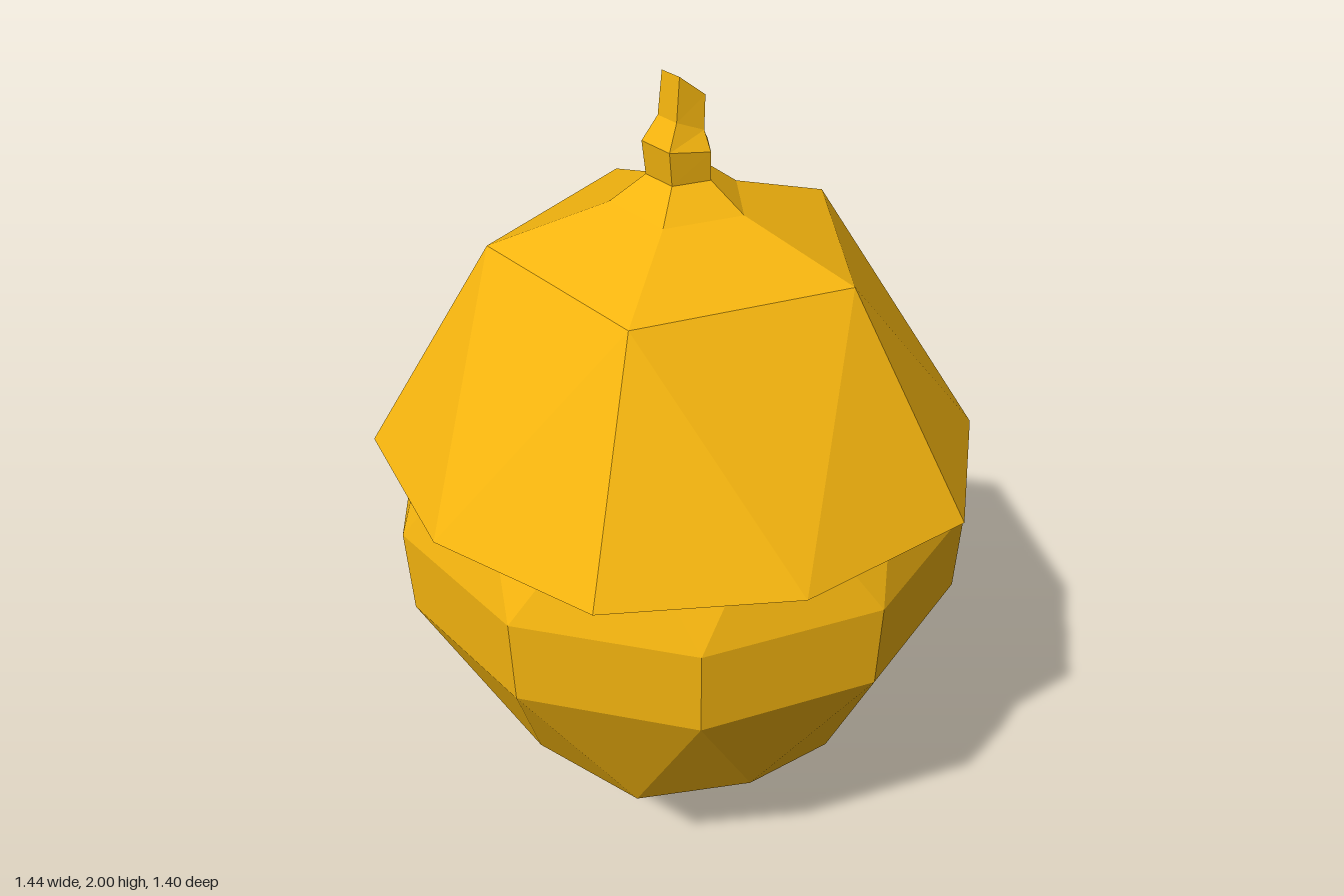
import * as THREE from 'three';

const material = new THREE.MeshStandardMaterial({ color: 0xf5b50f, flatShading: true });

// One cross-section: n points around (cx, y); odd points may use their own radius and height.
// tilt lowers the +x side. start is the angle of the first point in degrees.
function ring({ n = 5, r = 0, y, cx = 0, start = 0, rOdd = r, yOdd = y, tilt = 0 }) {
  const points = [];
  for (let i = 0; i < n; i++) {
    const a = THREE.MathUtils.degToRad(start + (i * 360) / n);
    const rad = i % 2 ? rOdd : r;
    const dx = rad * Math.cos(a);
    points.push([cx + dx, (i % 2 ? yOdd : y) - tilt * dx, rad * Math.sin(a)]);
  }
  return { n, start, points };
}

// Joins rings from bottom to top, zipping together rings of different point counts.
function skin(name, specs) {
  const rings = specs.map(ring);
  const pos = [];
  for (let k = 0; k + 1 < rings.length; k++) {
    const a = rings[k], b = rings[k + 1];
    const at = (q, i) => q.points[i % q.n];
    const edges = (q) => (q.n > 1 ? q.n : 0);
    const mid = (q, i) => (i < edges(q) ? q.start + ((i + 0.5) * 360) / q.n : Infinity);
    let i = 0, j = 0;
    while (i < edges(a) || j < edges(b)) {
      if (mid(a, i) <= mid(b, j)) {
        pos.push(...at(a, i), ...at(b, j), ...at(a, i + 1));
        i++;
      } else {
        pos.push(...at(a, i), ...at(b, j), ...at(b, j + 1));
        j++;
      }
    }
  }
  const geometry = new THREE.BufferGeometry();
  geometry.setAttribute('position', new THREE.Float32BufferAttribute(pos, 3));
  geometry.computeVertexNormals();
  const mesh = new THREE.Mesh(geometry, material);
  mesh.name = name;
  return mesh;
}

export function createModel() {
  const group = new THREE.Group();
  group.name = 'acorn';

  // Nut: a stretched, faceted ball with a pointed base
  const cx = -0.02;
  group.add(skin('nut', [
    { n: 1, y: 0, cx },
    { n: 5, r: 0.17, y: 0.07, cx, start: 36 },
    { n: 10, r: 0.44, y: 0.295, rOdd: 0.46, yOdd: 0.35, cx },
    { n: 10, r: 0.685, y: 0.765, cx, start: 18 },
    { n: 10, r: 0.695, y: 0.98, cx, start: 18 },
    { n: 10, r: 0.56, y: 1.3, cx },
    { n: 1, y: 1.45, cx },
  ]));

  // Cap: flat underside, ten-sided rim and five-sided crown
  group.add(skin('cap', [
    { n: 10, r: 0.56, y: 1.1, cx: -0.015 },
    { n: 10, r: 0.738, y: 1.11, rOdd: 0.705, yOdd: 1.1, cx: -0.015 },
    { n: 5, r: 0.435, y: 1.608, cx: -0.015 },
    { n: 5, r: 0.16, y: 1.707, cx: -0.015 },
    { n: 5, r: 0.077, y: 1.77, cx: -0.017 },
    { n: 1, y: 1.77, cx: -0.017 },
  ]));

  // Stem: swollen base, narrow neck and slanted tip
  group.add(skin('stem', [
    { n: 1, y: 1.76, cx: -0.017 },
    { n: 5, r: 0.077, y: 1.77, cx: -0.017 },
    { n: 5, r: 0.081, y: 1.84, cx: -0.022, tilt: 0.12 },
    { n: 5, r: 0.054, y: 1.885, cx: -0.011, tilt: 0.4 },
    { n: 5, r: 0.05, y: 1.967, cx: -0.004, tilt: 0.82 },
    { n: 1, y: 1.967, cx: -0.004 },
  ]));

  return group;
}
